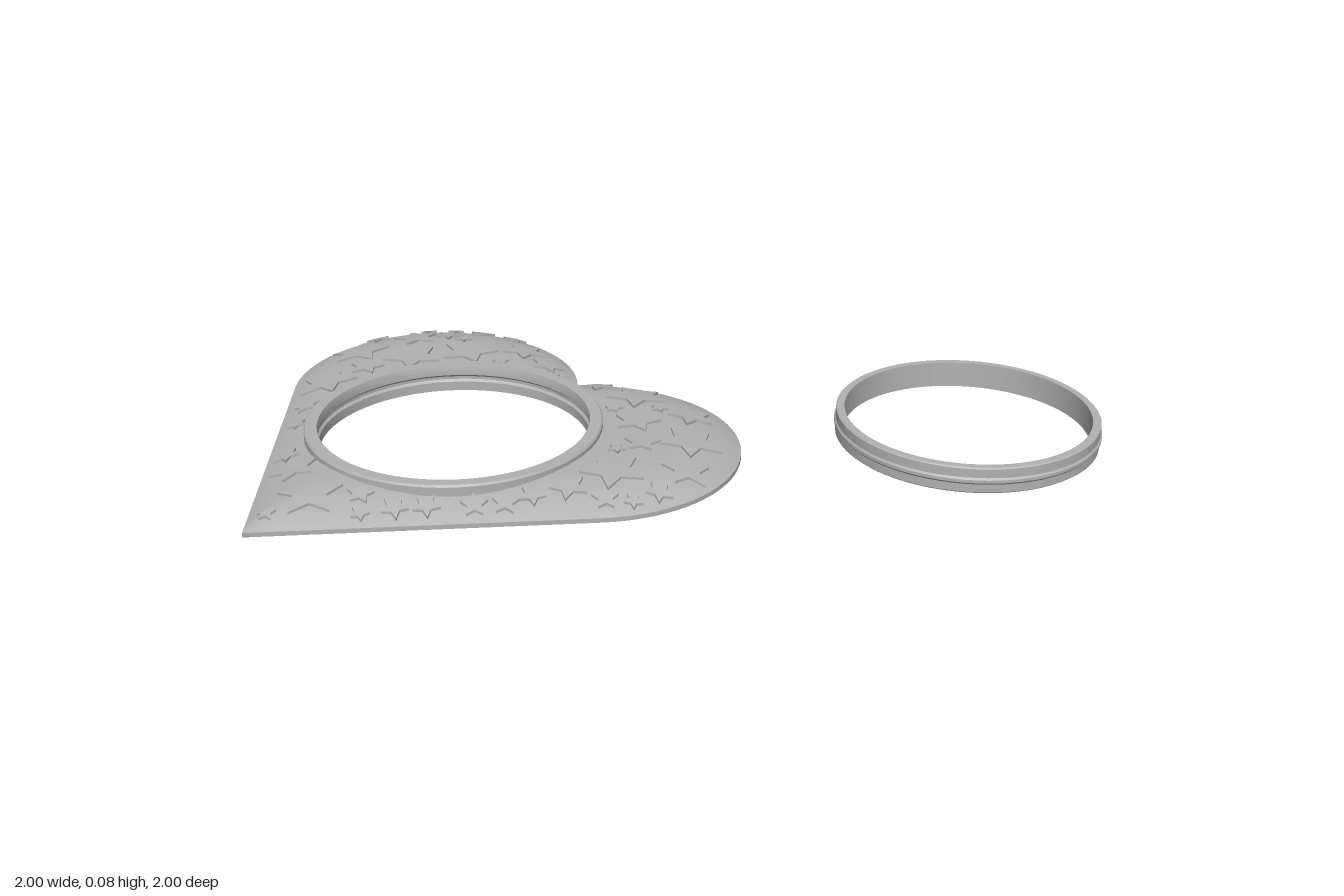
import * as THREE from 'three';
import { toCreasedNormals } from 'three/addons/utils/BufferGeometryUtils.js';

const HEART_X = -0.312, HOLE_Z = 0.305, HOLE_R = 0.362, RIM_R = 0.39;
const LOBE_X = 0.293, LOBE_Z = 0.1, LOBE_R = 0.395, TIP_Z = 1;
const PIN = { x: 0, z: -0.13, r: 0.018 };

// Heart outline, from the cleft over the +x lobe to the tip and back (x, z)
function heartOutline() {
  const half = [];
  const t0 = -Math.acos(-LOBE_X / LOBE_R);
  const dz = TIP_Z - LOBE_Z;
  const t1 = Math.atan2(dz, -LOBE_X) - Math.acos(LOBE_R / Math.hypot(LOBE_X, dz));
  for (let i = 0; i <= 44; i++) {
    const t = t0 + (t1 - t0) * i / 44;
    half.push(new THREE.Vector2(LOBE_X + LOBE_R * Math.cos(t), LOBE_Z + LOBE_R * Math.sin(t)));
  }
  half[0].x = 0;
  const tangent = half[44], tip = new THREE.Vector2(0, TIP_Z);
  for (let i = 1; i <= 20; i++) half.push(tangent.clone().lerp(tip, i / 20));
  const mirrored = half.slice(1, -1).reverse().map(p => new THREE.Vector2(-p.x, p.y));
  return [...half, ...mirrored];
}

const outline = heartOutline();
const N = outline.length;
const at = i => outline[(i + N) % N];
const holePoint = (i, r = HOLE_R) => {
  const p = at(i), a = Math.atan2(p.y - HOLE_Z, p.x);
  return new THREE.Vector2(r * Math.cos(a), HOLE_Z + r * Math.sin(a));
};

// Distance to the heart's edge, and the domed height that follows from it
function edgeDistance(x, z) {
  let best = Infinity;
  for (let i = 0; i < N; i++) {
    const a = at(i), b = at(i + 1), ex = b.x - a.x, ez = b.y - a.y;
    const t = Math.min(1, Math.max(0, ((x - a.x) * ex + (z - a.y) * ez) / (ex * ex + ez * ez)));
    best = Math.min(best, Math.hypot(x - a.x - ex * t, z - a.y - ez * t));
  }
  return best;
}
const domeHeight = (x, z) =>
  0.012 + 0.048 * (1 - Math.pow(1 - Math.min(edgeDistance(x, z) / 0.25, 1), 3));

// Surface made of one column of points per outline point
function strip(first, last, column) {
  const pos = [], idx = [];
  let rows = 0;
  for (let i = first; i <= last; i++) {
    const col = column(i);
    rows = col.length;
    col.forEach(p => pos.push(...p));
  }
  for (let i = 0; i < last - first; i++) {
    for (let j = 0; j < rows - 1; j++) {
      const a = i * rows + j, b = a + rows;
      idx.push(a, b, a + 1, b, b + 1, a + 1);
    }
  }
  const geo = new THREE.BufferGeometry();
  geo.setAttribute('position', new THREE.Float32BufferAttribute(pos, 3));
  geo.setIndex(idx);
  geo.computeVertexNormals();
  return geo;
}

// Extrude a flat shape (x, -z) and bend its bottom and top to given heights
function bentExtrude(shape, bottom, top) {
  const geo = new THREE.ExtrudeGeometry(shape, { depth: 1, bevelEnabled: false, curveSegments: 24 });
  geo.rotateX(-Math.PI / 2);
  const p = geo.attributes.position;
  for (let i = 0; i < p.count; i++) {
    const x = p.getX(i), z = p.getZ(i);
    p.setY(i, p.getY(i) > 0.5 ? top(x, z) : bottom(x, z));
  }
  return toCreasedNormals(geo, 0.5);
}

function lathe(profile) {
  const pts = [...profile, profile[0]].map(([x, y]) => new THREE.Vector2(x, y));
  return toCreasedNormals(new THREE.LatheGeometry(pts, 96), 0.35);
}

function seeded(seed) {
  return () => {
    seed = (seed * 16807) % 2147483647;
    return seed / 2147483647;
  };
}

// Scatter of stars that avoids the rim, the edge, the pin hole and each other
function scatterStars() {
  const rand = seeded(4711), stars = [];
  for (const [r, tries] of [[0.085, 150], [0.065, 150], [0.05, 250], [0.036, 350], [0.025, 350]]) {
    for (let k = 0; k < tries; k++) {
      const i = Math.floor(rand() * N);
      const p = holePoint(i, RIM_R).lerp(at(i), rand());
      const turn = rand() * Math.PI * 2;
      if (Math.hypot(p.x, p.y - HOLE_Z) < RIM_R + r * 0.95) continue;
      if (Math.hypot(p.x - PIN.x, p.y - PIN.z) < PIN.r + r) continue;
      if (edgeDistance(p.x, p.y) < r + 0.01) continue;
      if (stars.some(s => Math.hypot(s.x - p.x, s.z - p.y) < (s.r + r) * 0.92)) continue;
      stars.push({ x: p.x, z: p.y, r, turn });
    }
  }
  return stars;
}

export function createModel() {
  const model = new THREE.Group();
  const grey = new THREE.MeshStandardMaterial({ color: 0xb2b2b2 });
  grey.name = 'grey';
  const add = (parent, name, geo) => {
    const mesh = new THREE.Mesh(geo, grey);
    mesh.name = name;
    parent.add(mesh);
    return mesh;
  };

  const heart = new THREE.Group();
  heart.name = 'heartFrame';
  heart.position.x = HEART_X;
  model.add(heart);

  // Domed plate, all around except a narrow sector at the cleft
  const K = 3;
  add(heart, 'plateTop', strip(K, N - K, i => {
    const col = [];
    for (let j = 0; j <= 14; j++) {
      const p = holePoint(i).lerp(at(i), 1 - Math.pow(1 - j / 14, 1.5));
      col.push([p.x, domeHeight(p.x, p.y), p.y]);
    }
    return col;
  }));
  add(heart, 'plateEdge', strip(K, N - K, i => [[at(i).x, 0.012, at(i).y], [at(i).x, 0, at(i).y]]));
  add(heart, 'plateBottom', strip(K, N - K, i => {
    const p = holePoint(i);
    return [[at(i).x, 0, at(i).y], [p.x, 0, p.y]];
  }));

  // Sector at the cleft with the pin hole
  const sector = [];
  for (let i = -K; i <= K; i++) sector.push(at(i));
  for (let j = 1; j < 6; j++) sector.push(at(K).clone().lerp(holePoint(K), j / 6));
  for (let i = K; i >= -K; i--) sector.push(holePoint(i));
  for (let j = 5; j > 0; j--) sector.push(at(-K).clone().lerp(holePoint(-K), j / 6));
  const sectorShape = new THREE.Shape(sector.map(p => new THREE.Vector2(p.x, -p.y)));
  sectorShape.holes.push(new THREE.Path().absarc(PIN.x, -PIN.z, PIN.r, 0, Math.PI * 2, true));
  add(heart, 'cleftWithPinHole', bentExtrude(sectorShape, () => 0, domeHeight));

  // Raised rim round the opening, with a snap groove inside
  add(heart, 'rim', lathe([
    [0.364, 0], [0.364, 0.02], [0.39, 0.02], [0.39, 0.07], [0.386, 0.075], [0.356, 0.075],
    [0.355, 0.072], [0.355, 0.046], [0.361, 0.04], [0.361, 0.032], [0.355, 0.026], [0.355, 0],
  ])).position.z = HOLE_Z;

  // Raised stars that follow the dome
  const stars = new THREE.Group();
  stars.name = 'stars';
  heart.add(stars);
  for (const s of scatterStars()) {
    const pts = [];
    for (let k = 0; k < 10; k++) {
      const a = s.turn + k * Math.PI / 5, r = k % 2 ? s.r * 0.5 : s.r;
      pts.push(new THREE.Vector2(s.x + r * Math.cos(a), -s.z + r * Math.sin(a)));
    }
    add(stars, 'star', bentExtrude(new THREE.Shape(pts),
      (x, z) => domeHeight(x, z) - 0.004, (x, z) => domeHeight(x, z) + 0.007));
  }

  // Separate snap-in ring with a ridge round its middle
  add(model, 'snapRing', lathe([
    [0.341, 0], [0.346, 0.004], [0.346, 0.026], [0.35, 0.031], [0.35, 0.039], [0.346, 0.044],
    [0.346, 0.068], [0.343, 0.071], [0.324, 0.071], [0.324, 0],
  ])).position.set(0.65, 0, -0.65);

  return model;
}
